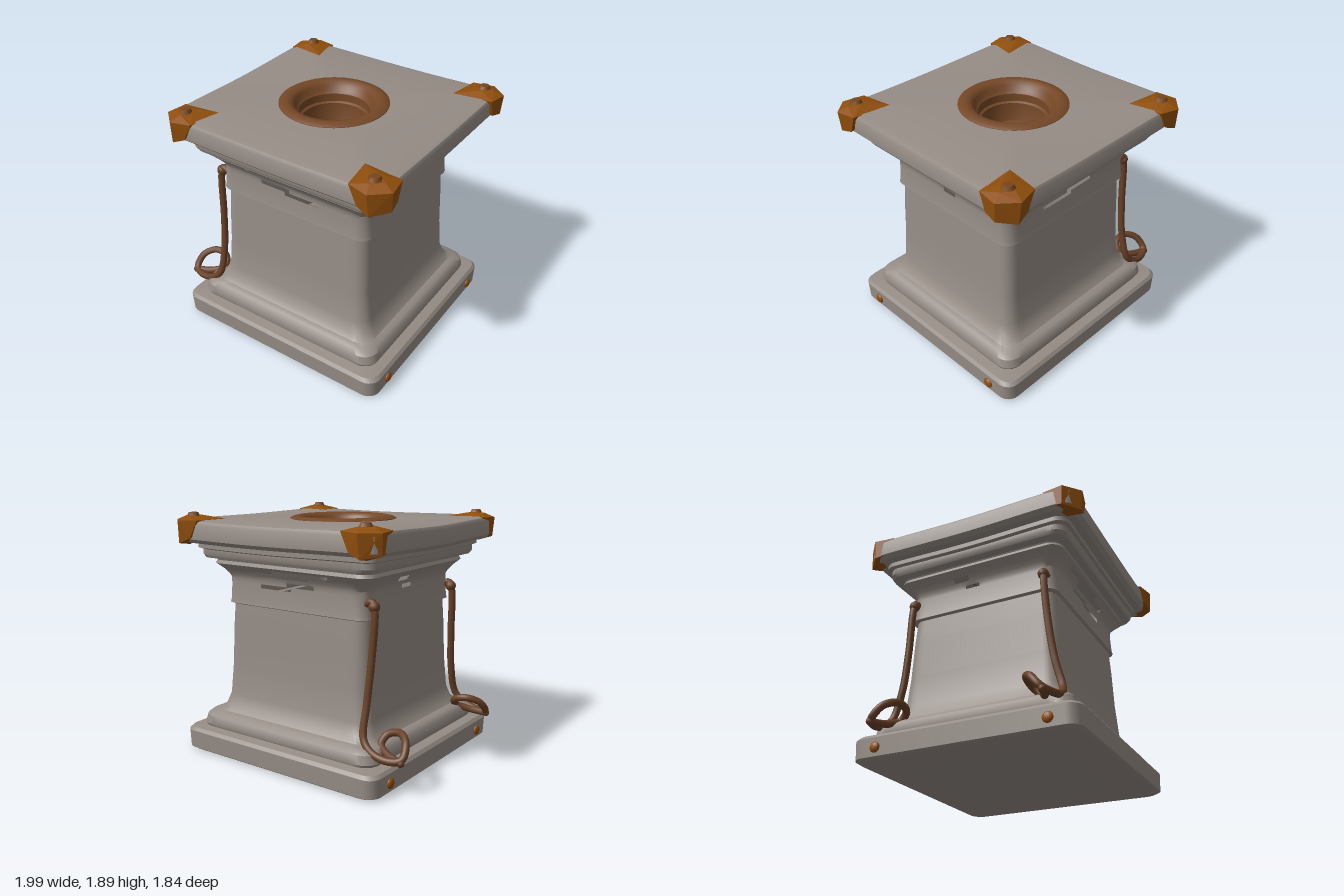
import * as THREE from 'three';
import { toCreasedNormals } from 'three/addons/utils/BufferGeometryUtils.js';
import { ConvexGeometry } from 'three/addons/geometries/ConvexGeometry.js';

const mat = (name, color, extra = {}) => new THREE.MeshStandardMaterial({ name, color, ...extra });

// Rounded square outline of half width h and corner radius r, four sides of equal point count
const SIDE = 26, ARC = 6;
function outline(h, r) {
  const pts = [];
  for (let s = 0; s < 4; s++) {
    const side = [];
    for (let i = 0; i <= SIDE; i++) side.push([h, (-1 + (2 * i) / SIDE) * (h - r)]);
    for (let i = 1; i < ARC; i++) {
      const a = (i / ARC) * Math.PI / 2;
      side.push([h - r + r * Math.cos(a), h - r + r * Math.sin(a)]);
    }
    for (let [x, z] of side) {
      for (let k = 0; k < s; k++) [x, z] = [-z, x];
      pts.push([x, z]);
    }
  }
  return pts;
}

// Broken openings in the neck: u runs along the side, s is the side number
function isBroken(s, y, u) {
  const inside = (y0, y1, a, b) => y > y0 && y < y1 && u > a && u < b;
  if (s % 2 === 1) { // front and back
    return inside(1.455, 1.48, -0.36, 0.12) || inside(1.42, 1.455, -0.18, 0.3)
      || inside(1.36, 1.39, -0.2, 0.06) || inside(1.33, 1.36, 0.02, 0.32);
  }
  return inside(1.36, 1.39, -0.1, 0.02) || inside(1.42, 1.455, -0.2, -0.08);
}

function stoneGeometry() {
  // [height, half width, corner radius]
  const rows = [
    [0, 0.001, 0], [0, 0.88, 0.1], [0.02, 0.91, 0.1], [0.16, 0.915, 0.1], [0.185, 0.895, 0.1],
    [0.195, 0.82, 0.12], [0.215, 0.828, 0.12], [0.28, 0.815, 0.12], [0.31, 0.785, 0.12],
    [0.32, 0.74, 0.12], [0.36, 0.705, 0.12], [0.45, 0.675, 0.11], [0.7, 0.655, 0.1],
    [1, 0.645, 0.1], [1.18, 0.635, 0.1], [1.19, 0.66, 0.1], [1.22, 0.655, 0.1],
    [1.33, 0.65, 0.1], [1.36, 0.65, 0.1], [1.39, 0.65, 0.1], [1.42, 0.665, 0.1],
    [1.455, 0.69, 0.1], [1.48, 0.715, 0.1], [1.5, 0.735, 0.1], [1.525, 0.725, 0.1],
    [1.535, 0.73, 0.1], [1.545, 0.785, 0.1], [1.57, 0.8, 0.1], [1.61, 0.8, 0.1],
    [1.62, 0.825, 0.1], [1.655, 0.825, 0.1], [1.66, 0.88, 0.1], [1.69, 0.912, 0.1],
    [1.8, 0.915, 0.1], [1.825, 0.9, 0.1], [1.835, 0.86, 0.1],
  ];
  const pos = [], idx = [];
  const n = 4 * (SIDE + ARC);
  for (const [y, h, r] of rows) {
    for (const [x, z] of outline(h, r)) {
      const wave = y > 1.6 ? 0.006 * Math.sin(3 * x + 1) * Math.cos(4 * z) : 0;
      pos.push(x + 0.028, y + wave, z * Math.max(h - 0.04, 0.001) / h);
    }
  }
  // The top runs inward to a round opening for the basin
  for (const [x, z] of outline(1, 0.1)) {
    const d = Math.hypot(x, z);
    pos.push(x / d * 0.34, 1.835, z / d * 0.34);
  }
  for (let i = 0; i < rows.length; i++) {
    for (let j = 0; j < n; j++) {
      const k = (j + 1) % n;
      const a = i * n + j, b = i * n + k, c = b + n, d = a + n;
      const s = Math.floor(j / (SIDE + ARC));
      const y = (pos[a * 3 + 1] + pos[d * 3 + 1]) / 2;
      const u = s % 2 ? pos[a * 3] : pos[a * 3 + 2];
      if (isBroken(s, y, u)) continue;
      idx.push(a, d, c, a, c, b);
    }
  }
  const g = new THREE.BufferGeometry();
  g.setAttribute('position', new THREE.Float32BufferAttribute(pos, 3));
  g.setIndex(idx);
  return toCreasedNormals(g, 0.6);
}

export function createModel() {
  const model = new THREE.Group();
  model.name = 'pedestal';
  const stone = mat('stone', 0x958c85, { side: THREE.DoubleSide });
  const copper = mat('basin copper', 0x744726, { side: THREE.DoubleSide });
  const brass = mat('corner brass', 0x8f4e0c, { flatShading: true });
  const boltMat = mat('bolt bronze', 0x77461a);
  const ropeMat = mat('rope brown', 0x674027);

  const add = (name, geometry, material, parent = model) => {
    const m = new THREE.Mesh(geometry, material);
    m.name = name;
    parent.add(m);
    return m;
  };

  add('stoneBody', stoneGeometry(), stone);

  // Sunken basin with a rounded rim and stepped wall
  const basin = [
    [0, 1.53], [0.15, 1.535], [0.22, 1.56], [0.24, 1.64], [0.245, 1.7], [0.262, 1.71],
    [0.265, 1.77], [0.285, 1.785], [0.295, 1.825], [0.32, 1.848], [0.355, 1.857],
    [0.39, 1.85], [0.412, 1.838], [0.416, 1.82],
  ].map(([x, y]) => new THREE.Vector2(x, y));
  add('basin', toCreasedNormals(new THREE.LatheGeometry(basin, 64), 0.7), copper);

  // Faceted metal caps on the four top corners, each with a bolt
  const capPoints = [
    [0.62, 1.838, 0.62], [0.92, 1.835, 0.65], [0.945, 1.83, 0.81], [0.82, 1.83, 0.92], [0.66, 1.835, 0.88],
    [0.74, 1.862, 0.76], [0.8, 1.868, 0.72], [0.87, 1.862, 0.78], [0.79, 1.862, 0.84],
    [0.92, 1.7, 0.7], [0.935, 1.68, 0.8], [0.83, 1.66, 0.905], [0.73, 1.7, 0.89], [0.82, 1.645, 0.8],
  ];
  for (const sx of [-1, 1]) {
    for (const sz of [-1, 1]) {
      const corner = new THREE.Group();
      corner.name = 'cornerCap';
      corner.position.x = 0.045;
      model.add(corner);
      const pts = capPoints.map(([x, y, z]) => new THREE.Vector3(x * sx, y, z * sz));
      add('capShell', new ConvexGeometry(pts), brass, corner);
      const bolt = add('capBolt', new THREE.CylinderGeometry(0.035, 0.05, 0.03, 8), boltMat, corner);
      bolt.position.set(0.795 * sx, 1.873, 0.78 * sz);

      // Studs on the sides of the base
      const stud = add('baseStud', new THREE.SphereGeometry(0.04, 14, 10), brass);
      stud.scale.x = 0.55;
      stud.position.set(0.028 + 0.915 * sx, 0.085, 0.66 * sz);
    }
  }

  // Hanging ropes with a curled end, one near each edge of the -x side
  const path = [
    [-0.59, 1.3, 0.55], [-0.65, 1.32, 0.55], [-0.672, 1.26, 0.555], [-0.665, 0.9, 0.58],
    [-0.655, 0.6, 0.62], [-0.67, 0.37, 0.68], [-0.75, 0.29, 0.7], [-0.88, 0.255, 0.69],
    [-0.965, 0.27, 0.65], [-0.95, 0.36, 0.57], [-0.86, 0.4, 0.5], [-0.76, 0.37, 0.5],
    [-0.74, 0.31, 0.56], [-0.83, 0.27, 0.62], [-0.965, 0.25, 0.66],
  ];
  for (const sz of [-1, 1]) {
    const pts = path.map(([x, y, z]) => new THREE.Vector3(x, y, z * sz));
    const rope = new THREE.Group();
    rope.name = 'rope';
    model.add(rope);
    add('ropeStrand', new THREE.TubeGeometry(new THREE.CatmullRomCurve3(pts), 120, 0.028, 10), ropeMat, rope);
    add('ropeEnd', new THREE.SphereGeometry(0.029, 12, 8), ropeMat, rope).position.copy(pts[pts.length - 1]);
    add('ropeKnot', new THREE.SphereGeometry(0.042, 12, 8), ropeMat, rope).position.copy(pts[1]).add(new THREE.Vector3(-0.015, -0.03, 0));
  }
  return model;
}
